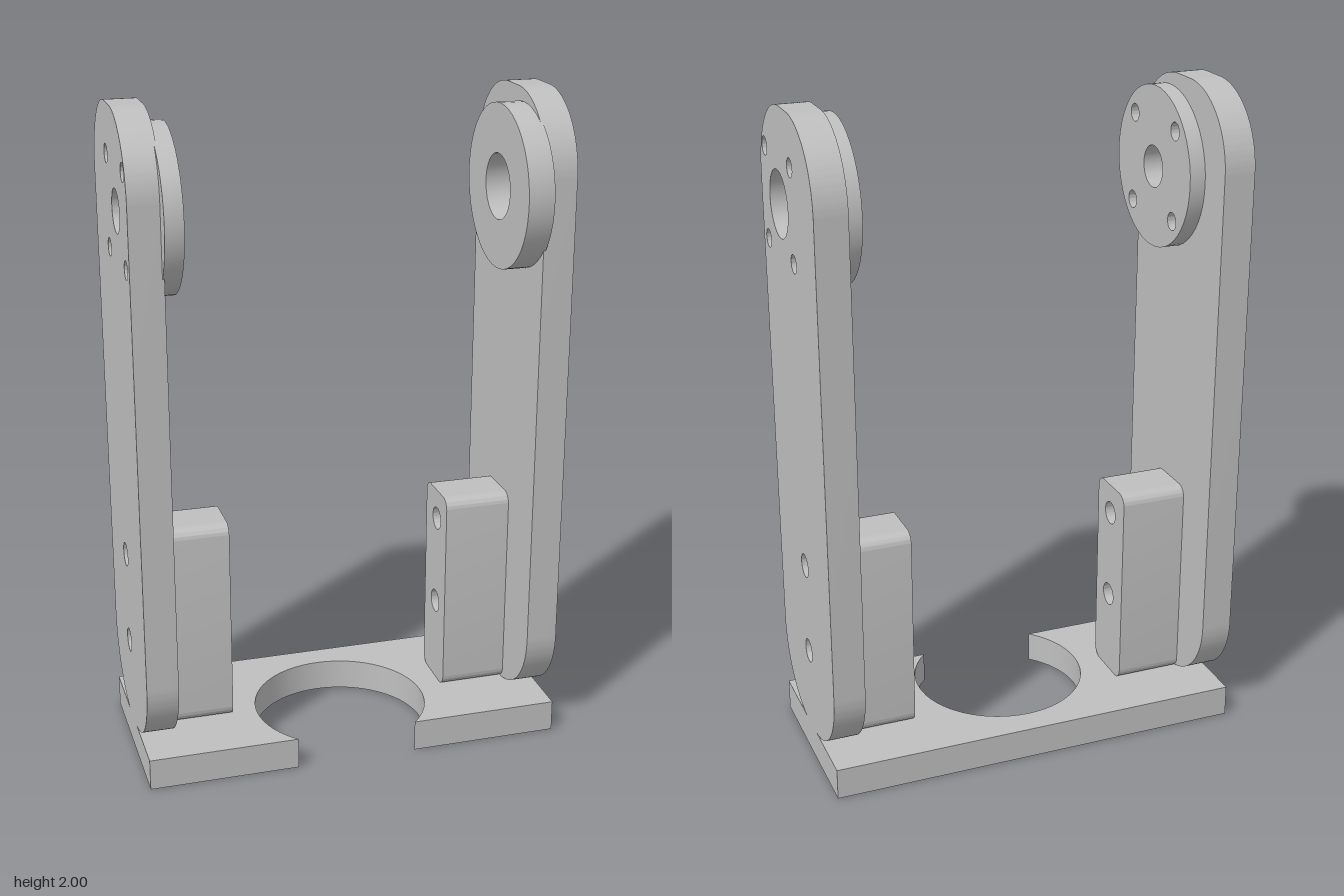
import * as THREE from 'three';
import { toCreasedNormals } from 'three/addons/utils/BufferGeometryUtils.js';

const grey = new THREE.MeshStandardMaterial({ color: 0xbfbfbf });
grey.name = 'grey';

// Rounded rectangle in side profile (u = -z, v = y)
function roundedRect(u0, u1, v0, v1, r) {
  const s = new THREE.Shape();
  s.absarc(u1 - r, v0 + r, r, -Math.PI / 2, 0);
  s.absarc(u1 - r, v1 - r, r, 0, Math.PI / 2);
  s.absarc(u0 + r, v1 - r, r, Math.PI / 2, Math.PI);
  s.absarc(u0 + r, v0 + r, r, Math.PI, Math.PI * 1.5);
  s.closePath();
  return s;
}

function addHoles(shape, holes) {
  for (const [u, v, r] of holes) {
    shape.holes.push(new THREE.Path().absarc(u, v, r, 0, Math.PI * 2, true));
  }
  return shape;
}

function extrude(shape, depth) {
  return new THREE.ExtrudeGeometry(shape, { depth, bevelEnabled: false, curveSegments: 24 });
}

function part(name, geometry) {
  const mesh = new THREE.Mesh(toCreasedNormals(geometry, 0.6), grey);
  mesh.name = name;
  return mesh;
}

// Side profile extruded between two x positions
function sidePart(name, shape, x0, x1) {
  return part(name, extrude(shape, x1 - x0).rotateY(Math.PI / 2).translate(x0, 0, 0));
}

export function createModel() {
  const group = new THREE.Group();
  group.name = 'bracket';

  const W = 0.643, baseTop = 0.097, inner = 0.548;
  const pu = -0.058, pv = 1.718; // pivot centre

  // Base plate with a round cut-out open to the front
  const r = 0.267, cz = 0.053, front = 0.245;
  const open = Math.sqrt(r * r - (front - cz) ** 2);
  const a = Math.atan2(front - cz, open);
  const base = new THREE.Shape();
  base.moveTo(open, -front);
  base.lineTo(W, -front);
  base.lineTo(W, 0.3);
  base.lineTo(-W, 0.3);
  base.lineTo(-W, -front);
  base.lineTo(-open, -front);
  base.absarc(0, -cz, r, Math.PI + a, -a, true);
  group.add(part('basePlate', extrude(base, baseTop).rotateX(-Math.PI / 2)));

  // Hole patterns
  const boltHoles = [];
  for (const du of [-0.134, 0.134]) {
    for (const dv of [-0.134, 0.134]) boltHoles.push([pu + du, pv + dv, 0.027]);
  }
  const screwHoles = [[0.037, 0.36, 0.036], [0.037, 0.646, 0.036]];

  // Left carries a thick disc with a wide bore, right a thin disc with bolt holes
  const sides = [
    { name: 'left', sign: 1, bore: 0.097, discInner: 0.476, discHoles: [] },
    { name: 'right', sign: -1, bore: 0.063, discInner: 0.5, discHoles: boltHoles },
  ];
  for (const { name, sign, bore, discInner, discHoles } of sides) {
    const span = (p, q) => (sign > 0 ? [p, q] : [-q, -p]);
    const pivotHole = [pu, pv, bore];

    const arm = addHoles(roundedRect(-0.246, 0.3, baseTop, 2, 0.234), [pivotHole, ...boltHoles, ...screwHoles]);
    group.add(sidePart(name + 'Arm', arm, ...span(inner, W)));

    const disc = new THREE.Shape().absarc(pu, pv, 0.242, 0, Math.PI * 2);
    addHoles(disc, [pivotHole, ...discHoles]);
    group.add(sidePart(name + 'PivotDisc', disc, ...span(discInner, 0.554)));

    const block = addHoles(roundedRect(-0.053, 0.135, baseTop, 0.74, 0.035), screwHoles);
    group.add(sidePart(name + 'MountBlock', block, ...span(0.344, inner)));
  }
  return group;
}
